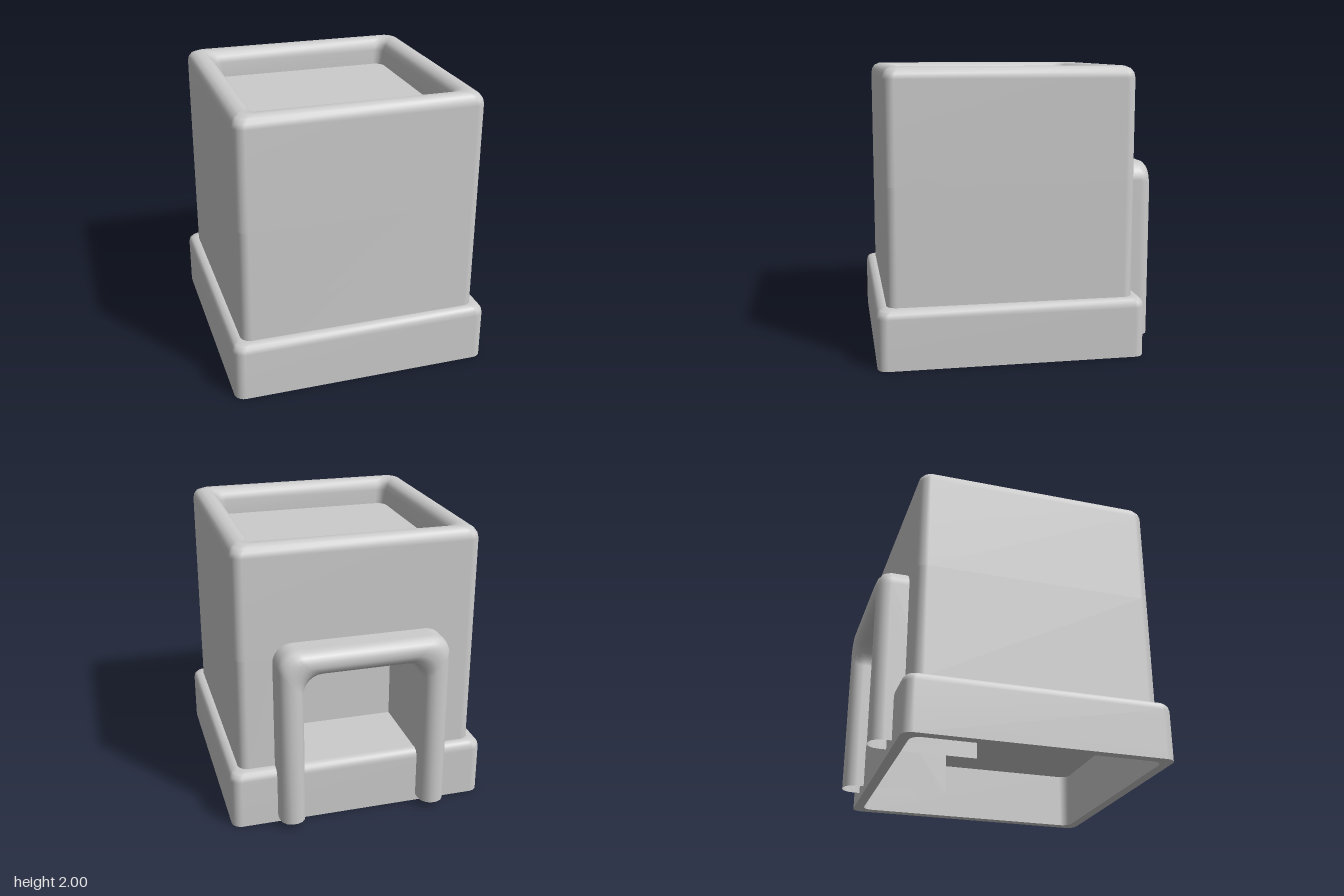
import * as THREE from 'three';

const material = new THREE.MeshStandardMaterial({ color: 0xcccccc, side: THREE.DoubleSide });
const CZ = 0.07; // the box sits slightly forward of the centre

// Joins a list of equally long point loops into one smooth skin
function loft(name, loops, closed) {
  const n = loops[0].length, index = [];
  for (let j = 0; j < loops.length - 1; j++) {
    for (let i = 0; i < (closed ? n : n - 1); i++) {
      const k = (i + 1) % n;
      const a = j * n + i, b = j * n + k, c = a + n, d = b + n;
      index.push(a, c, b, b, c, d);
    }
  }
  const geometry = new THREE.BufferGeometry();
  geometry.setAttribute('position', new THREE.Float32BufferAttribute(loops.flat(2), 3));
  geometry.setIndex(index);
  geometry.computeVertexNormals();
  return named(name, geometry);
}

function named(name, geometry) {
  const mesh = new THREE.Mesh(geometry, material);
  mesh.name = name;
  return mesh;
}

// Horizontal rounded square; a gap leaves its back side open for the doorway
function square(half, y, gap = 0, r = 0.07) {
  const pts = [];
  if (gap) pts.push([gap, y, CZ - half]);
  [[1, -1], [1, 1], [-1, 1], [-1, -1]].forEach(([sx, sz], q) => {
    for (let i = 0; i <= 5; i++) {
      const a = (q - 1 + i / 5) * Math.PI / 2;
      pts.push([sx * (half - r) + r * Math.cos(a), y, CZ + sz * (half - r) + r * Math.sin(a)]);
    }
  });
  if (gap) pts.push([-gap, y, CZ - half]);
  return pts;
}

// Upright doorway outline, inset from the outer edge of the frame
function arch(inset, z, bottom = 0.05, r = 0.13) {
  const w = 0.6 - inset, top = 1.32 - inset;
  const half = [[w, bottom, z]];
  for (let i = 0; i <= 6; i++) {
    const a = i / 6 * Math.PI / 2;
    half.push([w - r + r * Math.cos(a), top - r + r * Math.sin(a), z]);
  }
  return [...half, ...half.map(([x, y, pz]) => [-x, y, pz]).reverse()];
}

// Flat horizontal panel with rounded corners
function panel(name, half, y) {
  const shape = new THREE.Shape(square(half, 0).map(([x, , z]) => new THREE.Vector2(x, -z)));
  const geometry = new THREE.ShapeGeometry(shape);
  geometry.rotateX(-Math.PI / 2);
  geometry.translate(0, y, 0);
  return named(name, geometry);
}

const rings = (profile) => profile.map(([half, y]) => square(half, y));

export function createModel() {
  const model = new THREE.Group();

  // Body: lower walls leave a doorway, upper walls roll over into the rim
  model.add(loft('lowerWalls', [square(0.85, 0.41, 0.5), square(0.85, 1.22, 0.5)], false));
  model.add(loft('upperWallsAndRim', rings([
    [0.85, 1.22], [0.85, 1.92], [0.843, 1.955], [0.825, 1.983], [0.79, 2],
    [0.745, 2], [0.71, 1.983], [0.688, 1.955], [0.68, 1.91], [0.68, 1.8],
  ]), true));
  model.add(panel('recessedTop', 0.68, 1.8));

  // Base skirt, hollow underneath
  model.add(loft('baseSkirt', rings([
    [0.92, 0], [0.92, 0.35], [0.914, 0.383], [0.898, 0.403], [0.87, 0.413], [0.85, 0.413],
  ]), true));
  model.add(loft('skirtInside', rings([[0.85, 0.41], [0.85, 0]]), true));
  model.add(loft('skirtBottomEdge', rings([[0.85, 0], [0.92, 0]]), true));
  model.add(panel('floor', 0.85, 0.41));

  // Rounded door frame whose inner face continues as a short passage
  const frame = [
    [0, -0.41], [0, -0.9], [0.01, -0.945], [0.035, -0.975], [0.07, -0.99],
    [0.11, -0.99], [0.145, -0.975], [0.17, -0.945], [0.18, -0.9], [0.18, -0.235],
  ];
  model.add(loft('doorFrame', frame.map(([inset, z]) => arch(inset, z)), false));

  // Wall closing the far end of the passage
  const outline = arch(0.18, 0, 0.41).map(([x, y]) => new THREE.Vector2(x, y));
  const end = new THREE.ShapeGeometry(new THREE.Shape(outline));
  end.rotateY(Math.PI);
  end.translate(0, 0, -0.235);
  model.add(named('passageEnd', end));

  return model;
}
